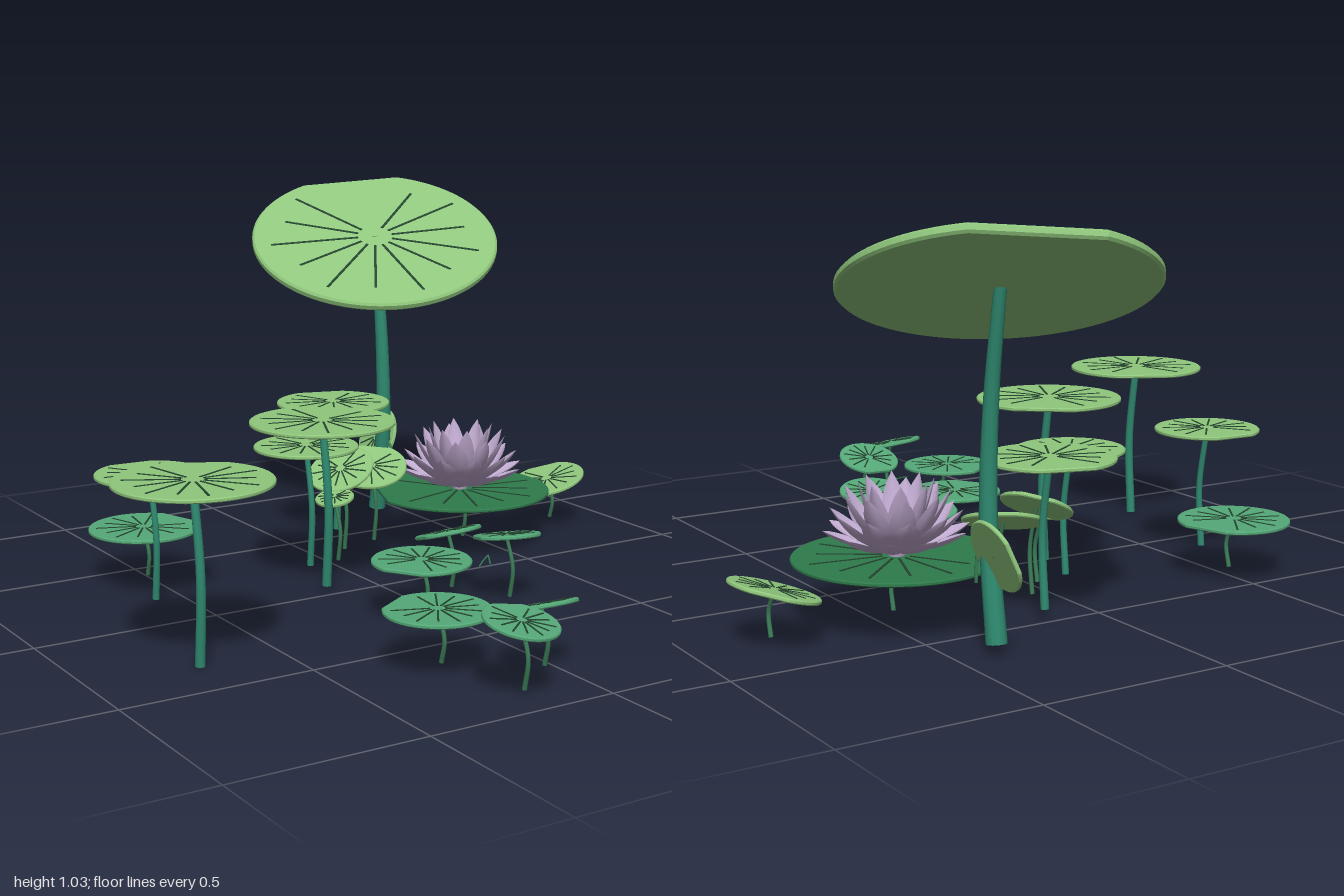
import * as THREE from 'three';

const V = (x, y, z) => new THREE.Vector3(x, y, z);
const mat = (color, side = THREE.FrontSide) => new THREE.MeshStandardMaterial({ color, side });
const light = mat(0x8fc67c), teal = mat(0x55a878), dark = mat(0x2f7a4c);
const vein = mat(0x24452f), thickStem = mat(0x2f8a70), thinStem = mat(0x3a7a55);
const petalMat = mat(0xc3add3, THREE.DoubleSide), yellow = mat(0xe0b040);

function add(parent, geometry, material, name) {
  const mesh = new THREE.Mesh(geometry, material);
  mesh.name = name;
  parent.add(mesh);
  return mesh;
}

// Tube through points, tapering from r0 at the foot to r1 at the top
function stem(parent, points, r0, r1, name) {
  const curve = new THREE.CatmullRomCurve3(points);
  const segs = 14, sides = 10;
  const g = new THREE.TubeGeometry(curve, segs, 1, sides);
  const p = g.attributes.position, c = V(), v = V();
  for (let i = 0; i < p.count; i++) {
    const u = Math.floor(i / (sides + 1)) / segs;
    curve.getPointAt(u, c);
    v.fromBufferAttribute(p, i).sub(c).multiplyScalar(r0 + (r1 - r0) * u).add(c);
    p.setXYZ(i, v.x, v.y, v.z);
  }
  add(parent, g, r0 > 0.008 ? thickStem : thinStem, name);
}

// Round leaf with a wedge notch facing the given angle in degrees (90 = back).
// a and b are the slopes of the leaf along x and z.
function pad(parent, name, material, [x, y, z, r, notch, a = 0, b = 0], t = 0.011) {
  const group = new THREE.Group();
  group.name = name;
  const start = THREE.MathUtils.degToRad(notch + 24);
  const end = THREE.MathUtils.degToRad(notch + 336);
  const shape = new THREE.Shape();
  shape.moveTo(0, 0);
  shape.absarc(0, 0, r, start, end, false);
  shape.closePath();
  const g = new THREE.ExtrudeGeometry(shape, {
    depth: t * 0.5, curveSegments: 40, bevelEnabled: true,
    bevelThickness: t * 0.25, bevelSize: t * 0.25, bevelOffset: -t * 0.25, bevelSegments: 1,
  });
  g.rotateX(-Math.PI / 2);
  add(group, g, material, 'leaf');
  // Radial veins
  const count = 12;
  for (let i = 0; i < count; i++) {
    const len = r * (i % 2 ? 0.62 : 0.72);
    const box = new THREE.BoxGeometry(len, 0.003, 0.003 + r * 0.012);
    box.translate(len / 2 + r * 0.14, t * 0.75, 0);
    box.rotateY(start + (end - start) * (i + 0.5) / count);
    add(group, box, vein, 'vein');
  }
  group.quaternion.setFromUnitVectors(V(0, 1, 0), V(-a, 1, -b).normalize());
  group.position.set(x, y, z);
  parent.add(group);
}

// Leaf with a gently bowed stem; high leaves get thicker stems
function plant(parent, name, material, leaf) {
  const [x, y, z, r] = leaf;
  const high = y > 0.3;
  const foot = high ? 0.02 - 0.035 * z : 0.025;
  const s = high ? r * 0.065 : 0.006;
  pad(parent, name, material, leaf);
  stem(parent, [V(x + 0.005, foot, z + 0.01), V(x + 0.003, (y + foot) / 2, z + 0.025), V(x, y, z)], s, s * 0.8, name + 'Stem');
}

// Pointed, cupped petal rising from the flower base to a tip at radius R, height H
function petalGeometry(R, H, width) {
  const curve = new THREE.QuadraticBezierCurve(
    new THREE.Vector2(0.015, 0), new THREE.Vector2(R * 0.75, H * 0.3), new THREE.Vector2(R, H));
  const g = new THREE.PlaneGeometry(1, 1, 4, 8);
  const p = g.attributes.position;
  for (let i = 0; i < p.count; i++) {
    const s = p.getX(i) * 2, u = p.getY(i) + 0.5;
    const c = curve.getPoint(u);
    const bulge = Math.max(0, Math.sin(Math.PI * Math.pow(u * 0.97 + 0.03, 1.15)));
    const w = width * 0.5 * Math.pow(bulge, 0.8);
    const cup = s * s * w * 0.28;
    p.setXYZ(i, s * w, c.y + cup, c.x - cup);
  }
  g.computeVertexNormals();
  return g;
}

function flower() {
  const group = new THREE.Group();
  group.name = 'flower';
  // Rings of petals: count, tip radius, tip height, width
  const rings = [[10, 0.185, 0.065, 0.075], [10, 0.165, 0.11, 0.075], [9, 0.135, 0.16, 0.07], [8, 0.095, 0.185, 0.06]];
  rings.forEach(([count, R, H, w], k) => {
    const g = petalGeometry(R, H, w);
    for (let i = 0; i < count; i++) {
      add(group, g, petalMat, 'petal').rotation.y = (i + (k % 2) * 0.5) / count * Math.PI * 2;
    }
  });
  add(group, new THREE.SphereGeometry(0.03, 16, 12), yellow, 'flowerCentre').position.y = 0.075;
  add(group, new THREE.CylinderGeometry(0.03, 0.02, 0.04, 12), petalMat, 'flowerBase').position.y = 0.005;
  group.position.set(0.447, 0.175, -0.27);
  return group;
}

export function createModel() {
  const model = new THREE.Group();
  model.name = 'lilyPond';

  // Leaves as x, y, z, radius, notch angle, slope along x, slope along z
  const raised = [
    [-0.72, 0.455, 0.325, 0.195, 63],
    [-0.6, 0.357, -0.17, 0.145, 87],
    [-0.15, 0.468, -0.05, 0.195, 52],
    [-0.1, 0.362, -0.225, 0.145, 65],
    [0.147, 0.415, -0.495, 0.165, 74],
  ];
  const young = [
    [0.8, 0.137, -0.31, 0.115, 58, 0.3],
    [0.075, 0.255, -0.33, 0.095, 57, 0.5, -0.3],
    [0.2, 0.24, -0.37, 0.105, 47, 0.25, -0.35],
    [0, 0.2, -0.24, 0.055, 47, 0.2, -0.1],
  ];
  const floating = [
    [-0.52, 0.152, -0.39, 0.15, 18],
    [-0.06, 0.155, 0.295, 0.13, 213],
    [0.125, 0.17, 0.145, 0.09, 172, 0.05, 0.3],
    [0.205, 0.185, 0.3, 0.09, 162, -0.05, 0.2],
    [-0.245, 0.148, 0.645, 0.132, 122],
    [-0.05, 0.165, 0.79, 0.09, 88, 0, 0.35],
    [-0.19, 0.18, 0.9, 0.092, 78, -0.1, -0.2],
  ];
  raised.forEach((leaf) => plant(model, 'raisedPad', light, leaf));
  young.forEach((leaf) => plant(model, 'youngPad', light, leaf));
  floating.forEach((leaf) => plant(model, 'floatingPad', teal, leaf));

  // Flower on its broad dark leaf
  plant(model, 'flowerPad', dark, [0.447, 0.16, -0.27, 0.262, 159]);
  model.add(flower());

  // Tall tilted leaf with its thick bowed stem
  pad(model, 'tallPad', light, [0.395, 0.865, -0.66, 0.372, 72, 0.22, -0.43], 0.024);
  stem(model, [V(0.4, 0.035, -0.655), V(0.395, 0.3, -0.612), V(0.393, 0.6, -0.62), V(0.395, 0.88, -0.665)], 0.026, 0.015, 'tallStem');

  // Small leaf standing almost upright behind the tall stem
  pad(model, 'uprightPad', light, [0.42, 0.25, -0.68, 0.092, 80, 2.6]);
  stem(model, [V(0.4, 0.16, -0.565), V(0.4, 0.24, -0.575), V(0.42, 0.25, -0.68)], 0.004, 0.004, 'uprightStem');

  // Thin forked sprig
  for (const x of [0, 0.035]) {
    stem(model, [V(x, 0.175, 0.465), V(x / 2 + 0.03, 0.182, 0.442), V(0.06, 0.185, 0.42)], 0.002, 0.002, 'sprig');
  }
  return model;
}
